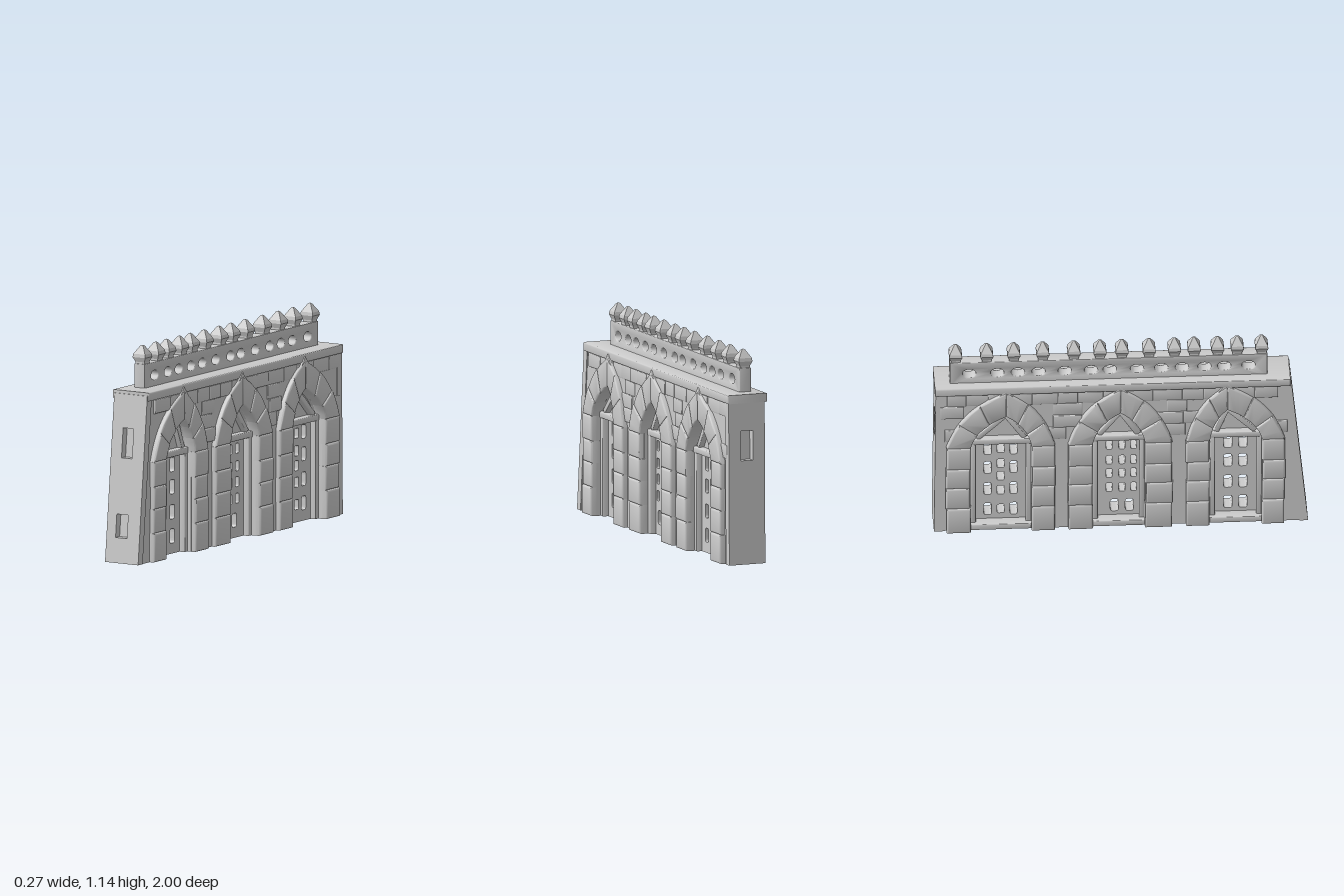
import * as THREE from 'three';
import { toCreasedNormals } from 'three/addons/utils/BufferGeometryUtils.js';

const mat = new THREE.MeshStandardMaterial({ color: 0xcccccc });
const V = (x, y) => new THREE.Vector2(x, y);

// Each bay: outer edges (a, d), opening edges (l, r), apex c, grate holes as [u, y, w, h]
const grid = (us, ys, w, h) => us.flatMap(u => ys.map(y => [u, y, w, h]));
const bays = [
  { a: -0.875, l: -0.755, c: -0.57, r: -0.475, d: -0.35,
    holes: grid([-0.655, -0.575], [0.095, 0.225, 0.36, 0.48], 0.047, 0.078) },
  { a: -0.275, l: -0.13, c: 0, r: 0.15, d: 0.28,
    holes: [...grid([-0.072, -0.01, 0.058], [0.21, 0.3, 0.385, 0.48], 0.034, 0.055),
      ...grid([-0.05, 0.03], [0.095], 0.045, 0.075)] },
  { a: 0.35, l: 0.475, c: 0.61, r: 0.8, d: 0.93,
    holes: [...grid([0.567, 0.706], [0.095, 0.225, 0.36, 0.48], 0.042, 0.075),
      ...grid([0.636], [0.095, 0.215, 0.305, 0.385, 0.48], 0.042, 0.055)] },
];

let seed = 7;
const rnd = () => (seed = (seed * 16807) % 2147483647) / 2147483647;

function add(group, geo, name) {
  const m = new THREE.Mesh(geo, mat);
  m.name = name;
  group.add(m);
  return m;
}

// Extrude a (u, y) outline across the wall from x0 to x1; u runs along -z
function slab(shape, x0, x1, b = 0) {
  const g = new THREE.ExtrudeGeometry(shape, {
    depth: x1 - x0 - 2 * b, bevelEnabled: b > 0, bevelSize: b, bevelThickness: b,
    bevelOffset: -b, bevelSegments: 2, curveSegments: 10,
  });
  g.translate(0, 0, x0 + b).rotateY(Math.PI / 2);
  return b > 0 ? toCreasedNormals(g, 0.9) : g;
}

// The same slab on one face of the wall
const onFace = (shape, side, x0, x1, b) =>
  side > 0 ? slab(shape, x0, x1, b) : slab(shape, -x1, -x0, b);

const rect = (u0, u1, y0, y1) =>
  new THREE.Shape([V(u0, y0), V(u1, y0), V(u1, y1), V(u0, y1)]);

// Pointed opening outline above its bottom left corner
function opening(path, o) {
  path.lineTo(o.l, 0.55);
  path.quadraticCurveTo(o.c + (o.l - o.c) * 0.85, 0.66, o.c, 0.73);
  path.quadraticCurveTo(o.c + (o.r - o.c) * 0.85, 0.66, o.r, 0.55);
  path.lineTo(o.r, 0);
}

// Wall core with pointed openings and a leaning end
function wallCore() {
  const s = new THREE.Shape();
  s.moveTo(-0.96, 0);
  bays.forEach(o => {
    s.lineTo(o.l, 0);
    opening(s, o);
  });
  s.lineTo(0.955, 0);
  s.lineTo(0.945, 0.9);
  s.lineTo(-0.87, 0.9);
  return slab(s, -0.1, 0.1);
}

// End face with sunken windows, sheared to follow the lean
function endFace(windows, dir, z, lean) {
  const s = rect(-0.105, 0.105, 0, 0.9);
  windows.forEach(([x0, x1, y0, y1]) =>
    s.holes.push(new THREE.Path([V(x0, y0), V(x0, y1), V(x1, y1), V(x1, y0)])));
  const g = new THREE.ExtrudeGeometry(s, { depth: 0.045, bevelEnabled: false });
  g.translate(0, 0, -0.045);
  if (dir < 0) g.rotateY(Math.PI);
  const p = g.attributes.position;
  for (let i = 0; i < p.count; i++) p.setZ(i, p.getZ(i) + dir * (z - lean * p.getY(i)));
  g.computeVertexNormals();
  return g;
}

// Pierced grate and tympanum filling an opening
function grate(o) {
  const s = new THREE.Shape();
  s.moveTo(o.l, 0);
  opening(s, o);
  // squared-off rounded holes, wound against the outline
  const f = v => Math.sign(v) * Math.pow(Math.abs(v), 0.4);
  o.holes.forEach(([u, y, w, h]) => {
    const pts = [];
    for (let i = 0; i < 24; i++) {
      const t = (i + 0.5) / 24 * Math.PI * 2;
      pts.push(V(u + f(Math.cos(t)) * w / 2, y + f(Math.sin(t)) * h / 2));
    }
    s.holes.push(new THREE.Path(pts));
  });
  return slab(s, -0.045, 0.045);
}

// Sloping bar between two points
function bar(p, q, t) {
  const n = q.clone().sub(p).normalize().multiplyScalar(t / 2);
  return new THREE.Shape([V(p.x + n.y, p.y - n.x), V(q.x + n.y, q.y - n.x),
    V(q.x - n.y, q.y + n.x), V(p.x - n.y, p.y + n.x)]);
}

function bayFace(o, side) {
  const g = new THREE.Group();
  g.name = 'archBay';
  // Column blocks
  const ys = [0, 0.155, 0.285, 0.405, 0.54];
  [[o.a, o.l], [o.r, o.d]].forEach(([u0, u1]) => {
    for (let i = 0; i < 4; i++) {
      const j = 0.008 * (rnd() - 0.5);
      add(g, onFace(rect(u0 + j, u1 + j, ys[i], ys[i + 1]), side, 0.06, 0.13 + 0.005 * rnd(), 0.012), 'columnBlock');
    }
  });
  // Arch stones, three per half
  [[o.a, o.l], [o.d, o.r]].forEach(([out, inn]) => {
    const outer = new THREE.QuadraticBezierCurve(V(out, 0.54), V(o.c + (out - o.c) * 0.78, 0.78), V(o.c, 0.88));
    const inner = new THREE.QuadraticBezierCurve(V(inn, 0.54), V(o.c + (inn - o.c) * 0.85, 0.66), V(o.c, 0.73));
    const cuts = [0, 0.34, 0.68, 1];
    for (let i = 0; i < 3; i++) {
      const ts = [0, 1, 2, 3].map(k => cuts[i] + (cuts[i + 1] - cuts[i]) * k / 3);
      const pts = [...ts.map(t => outer.getPoint(t)), ...ts.reverse().map(t => inner.getPoint(t))];
      add(g, onFace(new THREE.Shape(pts), side, 0.06, 0.132 - 0.004 * i, 0.009), 'archStone');
    }
  });
  // Pointed tip of the arch
  add(g, onFace(new THREE.Shape([V(o.c - 0.05, 0.845), V(o.c + 0.05, 0.845), V(o.c, 0.905)]),
    side, 0.08, 0.12, 0.003), 'archTip');
  // Door frame, lintel and gable bars
  add(g, onFace(rect(o.l, o.l + 0.03, 0, 0.54), side, 0.03, 0.08, 0.006), 'doorJamb');
  add(g, onFace(rect(o.r - 0.03, o.r, 0, 0.54), side, 0.03, 0.08, 0.006), 'doorJamb');
  add(g, onFace(rect(o.l, o.r, 0.53, 0.565), side, 0.03, 0.085, 0.008), 'lintel');
  add(g, onFace(bar(V(o.l + 0.035, 0.565), V(o.c, 0.71), 0.03), side, 0.03, 0.075, 0.005), 'gableBar');
  add(g, onFace(bar(V(o.c, 0.71), V(o.r - 0.035, 0.565), 0.03), side, 0.03, 0.075, 0.005), 'gableBar');
  if (side < 0) add(g, onFace(rect(o.l, o.r, 0, 0.035), side, 0.03, 0.105, 0.006), 'doorSill');
  return g;
}

// Staggered bricks above the arches
function bricks(side) {
  const g = new THREE.Group();
  g.name = 'brickCourses';
  for (let row = 0; row < 4; row++) {
    const y = 0.57 + row * 0.075;
    let u = -0.89 + (row % 2) * 0.05;
    while (u < 0.9) {
      const e = Math.min(u + 0.1 + 0.06 * rnd(), 0.965);
      const hit = bays.some(o => e > o.l - 0.02 && u < o.r + 0.02 && y < 0.73);
      if (!hit) add(g, onFace(rect(u, e, y, y + 0.075), side, 0.08, 0.104 + 0.008 * rnd(), 0.006), 'brick');
      u = e;
    }
  }
  return g;
}

// Pierced parapet with pointed posts
function parapet() {
  const g = new THREE.Group();
  g.name = 'parapet';
  const plate = rect(-0.785, 0.908, 0.9, 1.045);
  [-0.685, -0.555, -0.45, -0.33, -0.22, -0.09, 0.055, 0.155, 0.295, 0.435, 0.545, 0.655, 0.805].forEach(u => {
    const p = new THREE.Path();
    p.absellipse(u, 0.975, 0.036, 0.026, 0, Math.PI * 2, true);
    plate.holes.push(p);
  });
  add(g, slab(plate, -0.034, 0.034, 0.005), 'piercedRail');
  const profile = [[0.025, 1.01], [0.025, 1.055], [0.035, 1.08], [0.032, 1.098], [0.008, 1.14], [0, 1.145]]
    .map(([r, y]) => V(r * Math.SQRT2, y));
  const post = new THREE.LatheGeometry(profile, 4).rotateY(Math.PI / 4).toNonIndexed();
  post.computeVertexNormals();
  [-0.755, -0.625, -0.52, -0.395, -0.29, -0.155, -0.01, 0.107, 0.246, 0.412, 0.567, 0.711, 0.877].forEach(u => {
    const m = add(g, post, 'pointedPost');
    m.position.z = -u;
    m.scale.x = 1.15;
  });
  g.position.x = -0.027;
  return g;
}

export function createModel() {
  const model = new THREE.Group();
  model.name = 'archedWall';
  add(model, wallCore(), 'wallCore');
  add(model, endFace([[-0.037, 0.03, 0.56, 0.72], [-0.047, 0.025, 0.135, 0.26]], 1, 1, 0.1), 'frontEnd');
  add(model, endFace([[-0.035, 0.035, 0.56, 0.72]], -1, 0.995, 0.011), 'backEnd');
  add(model, slab(rect(-0.905, 0.99, 0.87, 0.917), -0.12, 0.113, 0.008), 'capStone');
  bays.forEach(o => add(model, grate(o), 'grate'));
  for (const side of [1, -1]) {
    bays.forEach(o => model.add(bayFace(o, side)));
    model.add(bricks(side));
  }
  model.add(parapet());
  return model;
}
